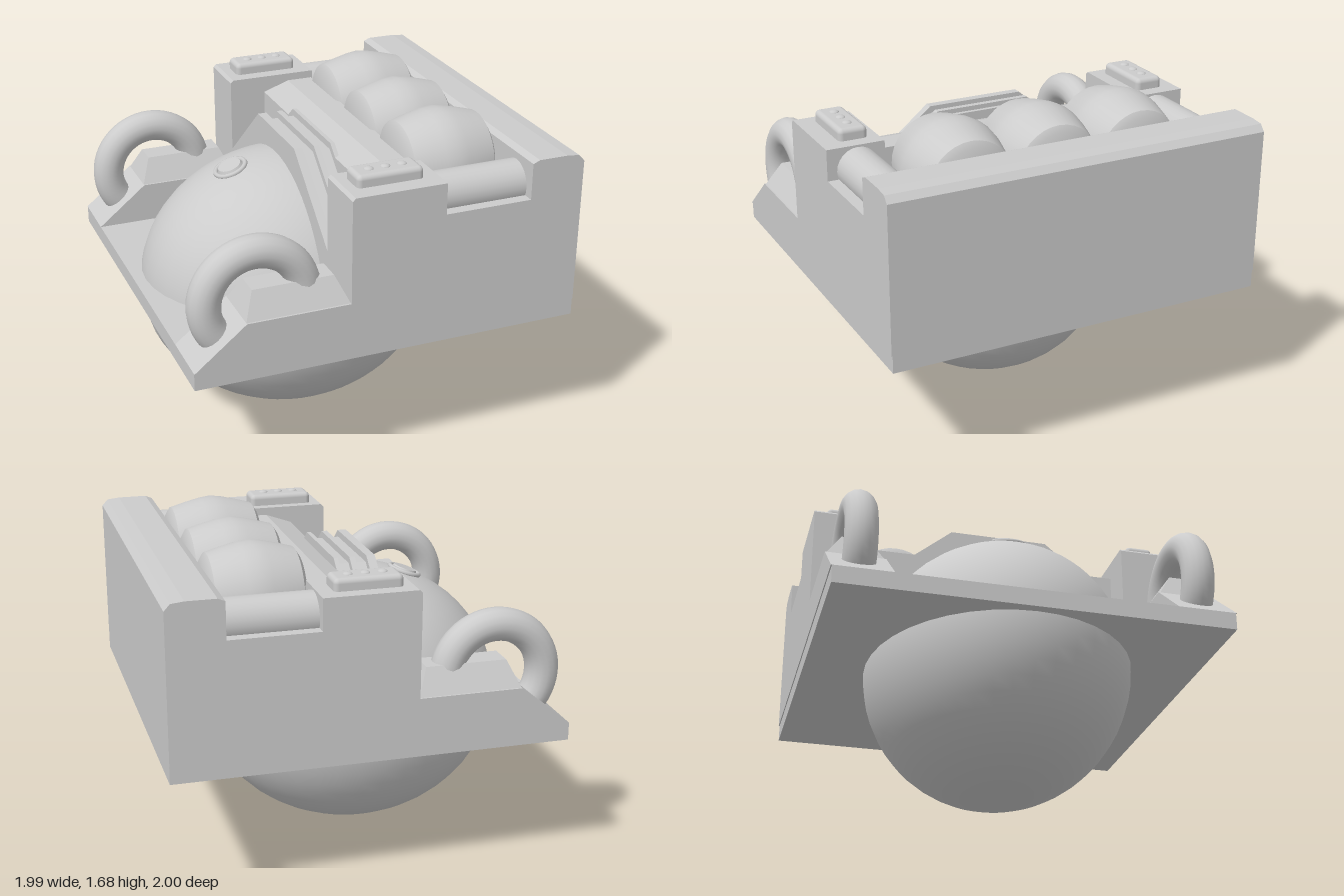
import * as THREE from 'three';
import { RoundedBoxGeometry } from 'three/addons/geometries/RoundedBoxGeometry.js';
import { toCreasedNormals } from 'three/addons/utils/BufferGeometryUtils.js';

const grey = new THREE.MeshStandardMaterial({ color: 0xcccccc });

function add(parent, name, geometry, x = 0, y = 0, z = 0) {
  const mesh = new THREE.Mesh(geometry, grey);
  mesh.name = name;
  mesh.position.set(x, y, z);
  parent.add(mesh);
  return mesh;
}

// Side outline in x and y, extruded along z from z0 to z1
function slab(points, z0, z1) {
  const shape = new THREE.Shape(points.map(([x, y]) => new THREE.Vector2(x, y)));
  return new THREE.ExtrudeGeometry(shape, { depth: z1 - z0, bevelEnabled: false }).translate(0, 0, z0);
}

// Outline in z and y, extruded along x from x0 to x1
function arch(halfTop, top, halfBase, shoulder, x0, x1) {
  const pts = [[-halfBase, 0.75], [halfBase, 0.75], [halfBase, shoulder], [halfTop, top], [-halfTop, top], [-halfBase, shoulder]];
  return slab(pts, x0, x1).rotateY(Math.PI / 2);
}

// Box whose top face is pulled in on all sides
function frustum(w, h, d, inX, inZ) {
  const g = new THREE.BoxGeometry(w, h, d).toNonIndexed();
  const p = g.attributes.position;
  for (let i = 0; i < p.count; i++) {
    if (p.getY(i) > 0) {
      p.setX(i, p.getX(i) - Math.sign(p.getX(i)) * inX);
      p.setZ(i, p.getZ(i) - Math.sign(p.getZ(i)) * inZ);
    }
  }
  g.computeVertexNormals();
  return g;
}

export function createModel() {
  const model = new THREE.Group();
  model.name = 'ballConsole';

  // Base plate and the large ball set into it
  add(model, 'basePlate', new THREE.BoxGeometry(1.99, 0.09, 1.99), 0, 0.745, 0);
  const ball = add(model, 'ball', new THREE.SphereGeometry(1, 40, 28), -0.155, 0.7, 0);
  ball.scale.set(0.79, 0.69, 0.69);

  // Round button lying on the ball
  const button = new THREE.Group();
  button.name = 'ballButton';
  button.position.set(-0.46, 1.335, 0.01 - 0.02);
  button.rotation.z = 0.35;
  model.add(button);
  const ring = add(button, 'buttonRing', new THREE.TorusGeometry(0.08, 0.013, 8, 28));
  ring.rotation.x = Math.PI / 2;
  add(button, 'buttonCap', new THREE.CylinderGeometry(0.06, 0.075, 0.03, 28), 0, 0.002, 0);

  // Rear wall with bevelled top edges
  add(model, 'rearWall', slab([
    [0.715, 0.79], [0.995, 0.79], [0.995, 1.54], [0.965, 1.573], [0.9, 1.58], [0.75, 1.58], [0.715, 1.565],
  ], -1, 1));

  // Hull between the side panels
  add(model, 'centreBlock', slab([
    [-0.02, 0.79], [0.26, 0.79], [0.26, 1.5], [0.12, 1.5], [-0.02, 1.45],
  ], -0.7, 0.7));
  add(model, 'cushionFloor', new THREE.BoxGeometry(0.46, 0.59, 1.42), 0.487, 1.085, 0);

  // Ribbed angular arch over the ball
  add(model, 'archCore', arch(0.25, 1.47, 0.7, 1.1, -0.2, 0));
  for (const [x0, x1] of [[-0.215, -0.17], [-0.11, -0.08], [-0.02, 0.002]]) {
    add(model, 'archRib', arch(0.26, 1.505, 0.7, 1.14, x0, x1));
  }

  // Row of three padded cushions
  const profile = [[0, -0.235], [0.19, -0.235], [0.222, -0.215], [0.243, -0.14], [0.262, -0.06], [0.27, 0],
    [0.262, 0.06], [0.243, 0.14], [0.222, 0.215], [0.19, 0.235], [0, 0.235]];
  const cushion = toCreasedNormals(new THREE.LatheGeometry(
    profile.map(([r, y]) => new THREE.Vector2(r, y)), 32).rotateZ(-Math.PI / 2), 0.6);
  for (const z of [-0.475, -0.02, 0.445]) add(model, 'cushion', cushion, 0.48, 1.417, z);

  // Both sides
  for (const side of [1, -1]) {
    const group = new THREE.Group();
    group.name = side > 0 ? 'frontSide' : 'backSide';
    model.add(group);

    // Side panel with sloped nose, tall pillar and notch
    add(group, 'sidePanel', slab([
      [-0.995, 0.79], [0.72, 0.79], [0.72, 1.38], [0.265, 1.38], [0.265, 1.54], [-0.2, 1.54],
      [-0.215, 1.525], [-0.215, 1.0], [-0.735, 1.0],
    ], side > 0 ? 0.7 : -1, side > 0 ? 1 : -0.7));

    // Rod lying in the notch
    const rod = add(group, 'rod', new THREE.CylinderGeometry(0.11, 0.11, 0.46, 24), 0.49, 1.42, side * 0.84);
    rod.rotation.z = Math.PI / 2;

    // Tapered mount and curved pipe
    add(group, 'pipeMount', frustum(0.52, 0.125, 0.28, 0.055, 0.075), -0.475, 1.0625, side * 0.85);
    const pipe = add(group, 'pipe', new THREE.TorusGeometry(0.25, 0.083, 16, 36, 3.9), -0.645, 1.038, side * 0.85);
    pipe.rotation.z = -0.05;

    // Control box with three buttons
    const z = side > 0 ? 0.83 : -0.85;
    add(group, 'controlBox', new RoundedBoxGeometry(0.34, 0.09, 0.15, 3, 0.025), 0.02, 1.555, z);
    for (const x of [-0.065, 0.02, 0.105]) {
      const knob = add(group, 'controlButton', new THREE.SphereGeometry(0.025, 14, 8, 0, Math.PI * 2, 0, Math.PI / 2), x, 1.598, z);
      knob.scale.y = 0.5;
    }
  }
  return model;
}
